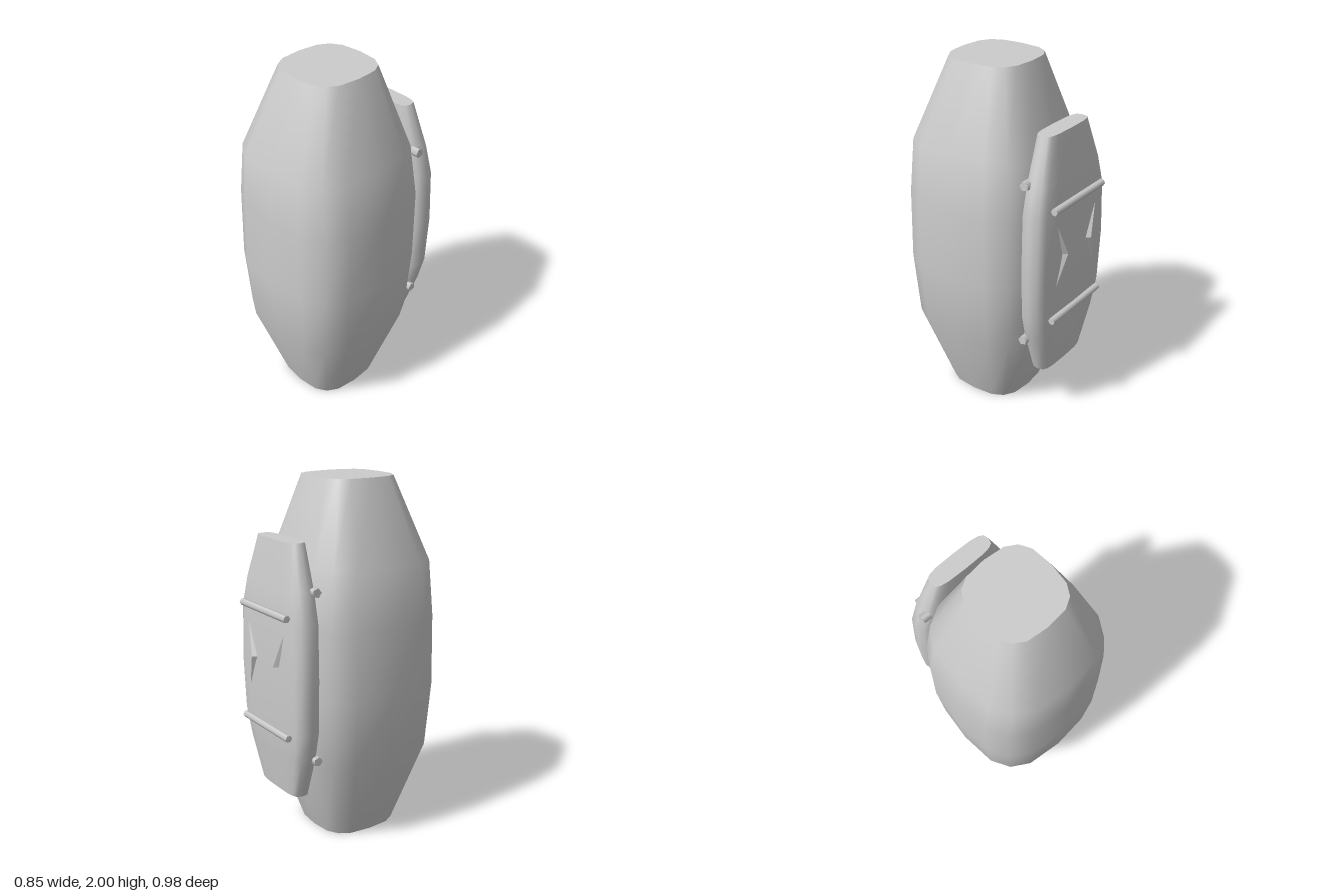
import * as THREE from 'three';

const grey = new THREE.MeshStandardMaterial({ color: 0xcccccc });
const thin = new THREE.MeshStandardMaterial({ color: 0xcccccc, flatShading: true, side: THREE.DoubleSide });

// Closed solid lofted through rounded-square rings: [y, halfWidth, zFront, zBack]
function loft(rings, sides, power) {
  const pos = [], index = [];
  const soft = v => Math.sign(v) * Math.pow(Math.abs(v), 2 / power);
  const ring = ([y, w, zf, zb]) => {
    for (let i = 0; i < sides; i++) {
      const a = (i / sides) * Math.PI * 2;
      pos.push(w * soft(Math.sin(a)), y, (zf + zb) / 2 + ((zf - zb) / 2) * soft(Math.cos(a)));
    }
  };
  rings.forEach(ring);
  for (let r = 0; r < rings.length - 1; r++) {
    for (let i = 0; i < sides; i++) {
      const j = (i + 1) % sides, a = r * sides + i, b = r * sides + j;
      index.push(a, b, b + sides, a, b + sides, a + sides);
    }
  }
  // Flat end caps with their own vertices keep the rims crisp
  for (const [r, top] of [[rings[0], false], [rings[rings.length - 1], true]]) {
    const base = pos.length / 3;
    ring(r);
    for (let i = 1; i < sides - 1; i++) {
      if (top) index.push(base, base + i, base + i + 1);
      else index.push(base, base + i + 1, base + i);
    }
  }
  const g = new THREE.BufferGeometry();
  g.setAttribute('position', new THREE.Float32BufferAttribute(pos, 3));
  g.setIndex(index);
  g.computeVertexNormals();
  return g;
}

// Slim raised arrow mark; s mirrors it, its point faces the middle
function chevron(s) {
  const top = [0.18, 0.18, -0.462], point = [0.09, 0, -0.462], low = [0.18, -0.18, -0.462];
  const notch = [0.135, 0, -0.462], peak = [0.112, 0, -0.488];
  const faces = [top, point, peak, point, low, peak, low, notch, peak, notch, top, peak];
  const g = new THREE.BufferGeometry();
  const pts = faces.flatMap(([x, y, z]) => [x * s, y, z]);
  g.setAttribute('position', new THREE.Float32BufferAttribute(pts, 3));
  g.computeVertexNormals();
  return g;
}

export function createModel() {
  const model = new THREE.Group();
  const add = (name, geometry, x = 0, y = 0, z = 0, material = grey) => {
    const m = new THREE.Mesh(geometry, material);
    m.name = name;
    m.position.set(x, y, z);
    model.add(m);
    return m;
  };

  // Barrel-shaped main body
  add('body', loft([
    [0, 0.23, 0.3, -0.17],
    [0.48, 0.395, 0.465, -0.335],
    [0.85, 0.425, 0.49, -0.355],
    [1.25, 0.425, 0.48, -0.355],
    [1.55, 0.388, 0.465, -0.32],
    [2, 0.22, 0.28, -0.165],
  ], 16, 3));

  // Flat pack on the back
  add('backPack', loft([
    [0.305, 0.19, -0.305, -0.415],
    [0.55, 0.275, -0.295, -0.448],
    [0.7, 0.312, -0.293, -0.462],
    [1.0, 0.325, -0.295, -0.468],
    [1.3, 0.315, -0.293, -0.463],
    [1.46, 0.275, -0.295, -0.448],
    [1.7, 0.19, -0.305, -0.41],
  ], 16, 3.6));

  // Two horizontal bars across the pack
  for (const y of [0.68, 1.33]) {
    const bar = add('packBar', new THREE.CylinderGeometry(0.02, 0.02, 0.455, 6), 0, y, -0.469);
    bar.rotation.z = Math.PI / 2;
  }

  for (const s of [-1, 1]) {
    add('packChevron', chevron(s), 0, 1.05, 0, thin);
    // Small studs on the pack sides
    for (const y of [0.54, 1.46]) {
      const stud = add('sideStud', new THREE.CylinderGeometry(0.027, 0.027, 0.05, 5), s * 0.272, y, -0.33);
      stud.rotation.z = Math.PI / 2;
    }
  }
  return model;
}
